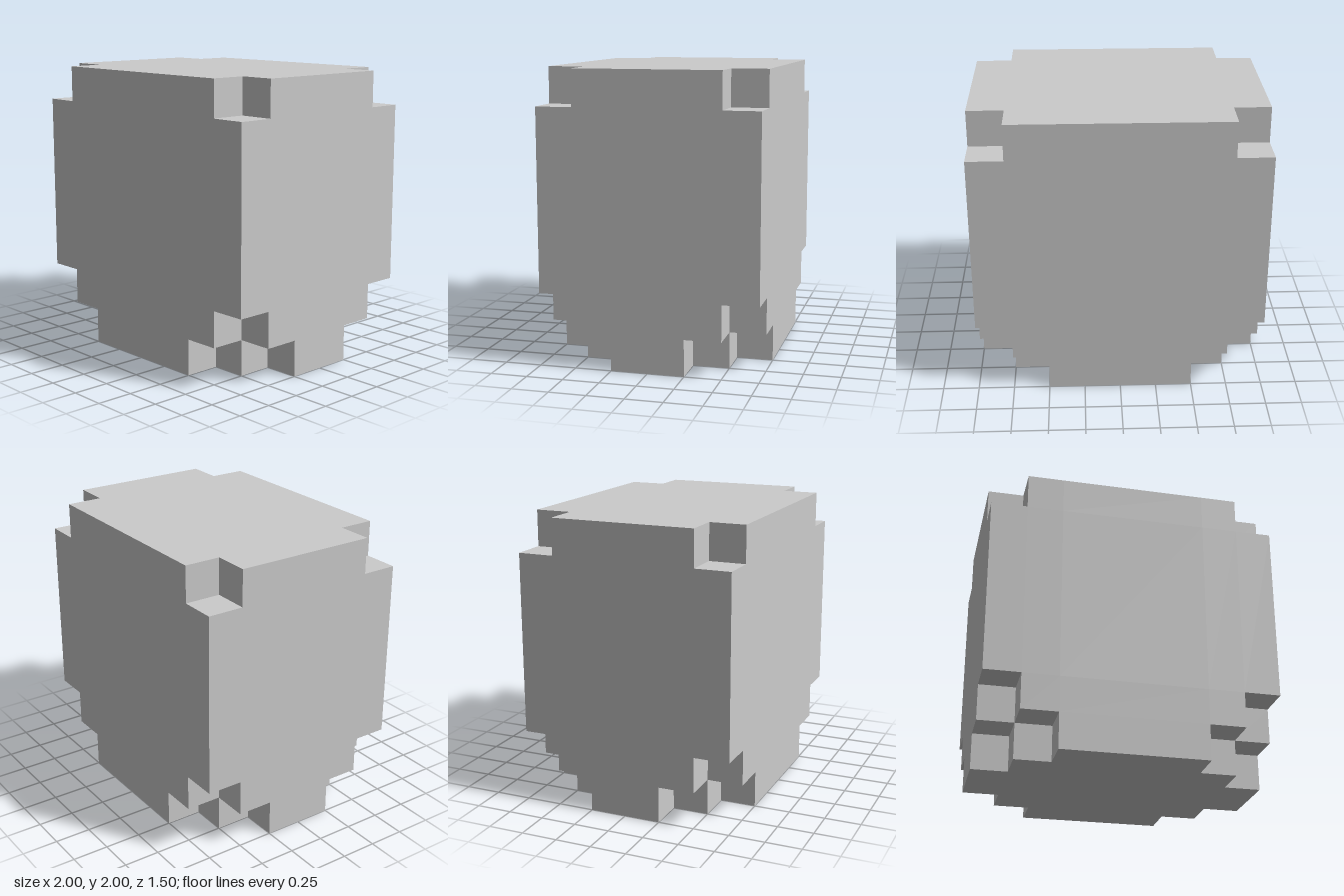
import * as THREE from 'three';

// Grid lines of the block on each axis; the outer cells are the 0.25 steps
const LINES = [
  [-1, -0.75, -0.5, 0.5, 0.75, 1],
  [0, 0.25, 0.5, 1.75, 2],
  [-0.75, -0.5, -0.25, 0.25, 0.5, 0.75],
];
const COUNT = LINES.map((l) => l.length - 1);

// A cell is filled unless it lies in a stepped bottom corner or a notched top corner
function filled(cell) {
  if (cell.some((n, axis) => n < 0 || n >= COUNT[axis])) return false;
  const [i, j, k] = cell;
  const inset = Math.min(i, COUNT[0] - 1 - i) + Math.min(k, COUNT[2] - 1 - k);
  const stepped = inset + j <= 1;
  const notched = inset === 0 && j === COUNT[1] - 1;
  return !stepped && !notched;
}

// Outer skin: one quad wherever a filled cell meets an empty one
function skinGeometry() {
  const positions = [];
  const addFace = (cell, axis, side) => {
    const u = (axis + 1) % 3, v = (axis + 2) % 3;
    const corner = (du, dv) => {
      const p = [0, 0, 0];
      p[axis] = LINES[axis][cell[axis] + (side > 0 ? 1 : 0)];
      p[u] = LINES[u][cell[u] + du];
      p[v] = LINES[v][cell[v] + dv];
      return p;
    };
    const q = [corner(0, 0), corner(1, 0), corner(1, 1), corner(0, 1)];
    if (side < 0) q.reverse();
    for (const n of [0, 1, 2, 0, 2, 3]) positions.push(...q[n]);
  };

  for (let i = 0; i < COUNT[0]; i++)
    for (let j = 0; j < COUNT[1]; j++)
      for (let k = 0; k < COUNT[2]; k++) {
        const cell = [i, j, k];
        if (!filled(cell)) continue;
        for (let axis = 0; axis < 3; axis++)
          for (const side of [-1, 1]) {
            const next = [...cell];
            next[axis] += side;
            if (!filled(next)) addFace(cell, axis, side);
          }
      }

  const geometry = new THREE.BufferGeometry();
  geometry.setAttribute('position', new THREE.Float32BufferAttribute(positions, 3));
  geometry.computeVertexNormals();
  return geometry;
}

export function createModel() {
  const model = new THREE.Group();
  model.name = 'steppedBlock';
  const material = new THREE.MeshStandardMaterial({ color: 0xcccccc, flatShading: true });
  const body = new THREE.Mesh(skinGeometry(), material);
  body.name = 'body';
  model.add(body);
  return model;
}
